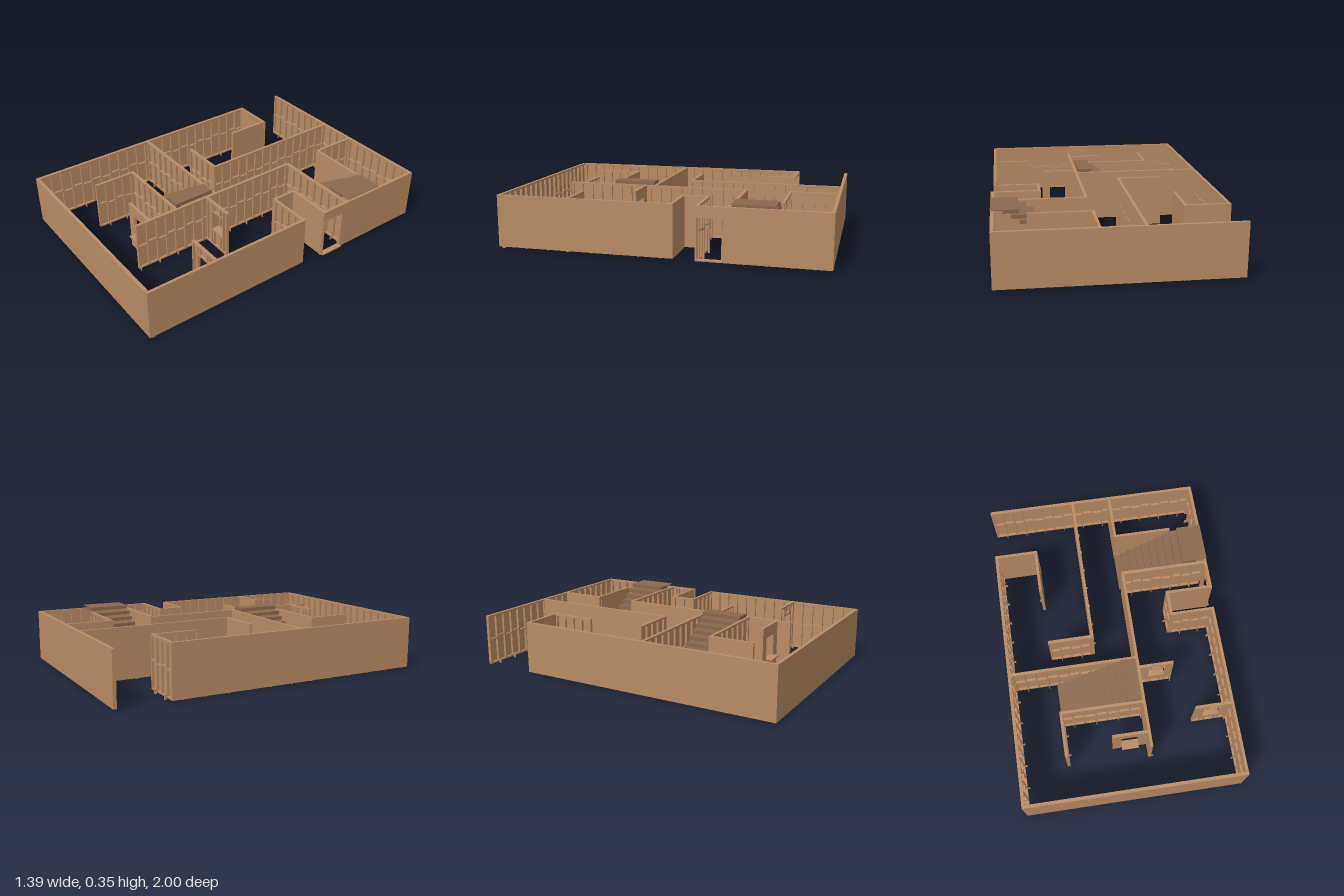
import * as THREE from 'three';
import { mergeGeometries } from 'three/addons/utils/BufferGeometryUtils.js';

const wood = new THREE.MeshStandardMaterial({ color: 0xb98b63 });
const darkWood = new THREE.MeshStandardMaterial({ color: 0x8a6a4e });
const FLOOR = 0.01, TOP = 0.33, SHEET = 0.005;

// Box given by its two opposite corners
function box(x0, x1, y0, y1, z0, z1) {
  return new THREE.BoxGeometry(x1 - x0, y1 - y0, z1 - z0)
    .translate((x0 + x1) / 2, (y0 + y1) / 2, (z0 + z1) / 2);
}

function part(name, boxes, material = wood) {
  const mesh = new THREE.Mesh(mergeGeometries(boxes), material);
  mesh.name = name;
  return mesh;
}

// Framed wall: a flat sheet on one side, plates, studs and blocking on the other.
// a0..a1 is the run along the axis, c0..c1 the thickness, side the stud face.
function wall(name, axis, a0, a1, c0, c1, side, hole) {
  const boxes = [];
  const put = (s, e, y0, y1, t0, t1) => boxes.push(
    axis === 'x' ? box(s, e, y0, y1, t0, t1) : box(t0, t1, y0, y1, s, e));
  const s0 = side > 0 ? c0 : c1 - SHEET;
  const f0 = side > 0 ? c0 + SHEET : c0;
  const f1 = side > 0 ? c1 : c1 - SHEET;
  const sheet = (s, e, y0, y1) => { if (e - s > 0.001 && y1 - y0 > 0.001) put(s, e, y0, y1, s0, s0 + SHEET); };

  // Sheet, left open at the window or door
  if (hole) {
    const [h0, h1, y0, y1] = hole;
    sheet(a0, h0, FLOOR, TOP);
    sheet(h1, a1, FLOOR, TOP);
    sheet(h0, h1, FLOOR, y0);
    sheet(h0, h1, y1, TOP);
    put(h0, h1, y1, y1 + 0.012, f0, f1);
    put(h0, h1, y0 - 0.01, y0, f0, f1);
    put(h0 - 0.012, h0, FLOOR, TOP, f0, f1);
    put(h1, h1 + 0.012, FLOOR, TOP, f0, f1);
  } else sheet(a0, a1, FLOOR, TOP);

  // Top and bottom plates
  put(a0, a1, TOP - 0.012, TOP, f0, f1);
  if (!hole || hole[2] > 0.05) put(a0, a1, FLOOR, FLOOR + 0.01, f0, f1);

  // Studs with staggered blocking and a small foot on every second one
  const n = Math.max(2, Math.round((a1 - a0) / 0.07));
  const pitch = (a1 - a0 - 0.012) / n;
  for (let i = 0; i <= n; i++) {
    const s = a0 + i * pitch;
    const inHole = hole && s + 0.012 > hole[0] && s < hole[1];
    if (inHole) {
      put(s, s + 0.012, hole[3], TOP, f0, f1);
      if (hole[2] > 0.05) put(s, s + 0.012, FLOOR, hole[2], f0, f1);
    } else {
      put(s, s + 0.012, FLOOR, TOP, f0, f1);
      const open = hole && s + pitch > hole[0] && s < hole[1];
      const y = 0.165 + (i % 2) * 0.012;
      if (i < n && !open) put(s, s + pitch, y, y + 0.01, f0, f1);
    }
    if (i % 2 && !inHole) {
      const t = side > 0 ? c1 : c0 - 0.015;
      put(s + 0.004, s + 0.008, 0, 0.03, t, t + 0.015);
    }
  }
  return part(name, boxes);
}

// Flight of overlapping thick treads rising towards +x
function stairs(name, x0, z0, z1, count, pitch, rise, landingEnd) {
  const boxes = [];
  for (let i = 0; i < count; i++) {
    const x = x0 + i * pitch, top = 0.35 - (count - 1 - i) * rise;
    boxes.push(box(x, x + 0.09, top - 0.022, top, z0, z1));
  }
  if (landingEnd) {
    boxes.push(box(x0 + (count - 1) * pitch + 0.09, landingEnd, 0.346, 0.35, z0, z1));
  }
  return part(name, boxes, darkWood);
}

export function createModel() {
  const model = new THREE.Group();
  model.name = 'floorPlanModel';
  const add = (...m) => model.add(...m);
  const doorway = [-0.385, -0.24, 0.02, 0.265];

  // Outer walls
  add(
    wall('backWall', 'x', -0.7, 0.68, -1, -0.98, 1),
    wall('leftRearWall', 'z', -0.98, -0.23, 0.66, 0.68, -1, doorway),
    wall('porchRearWall', 'x', 0.375, 0.66, -0.25, -0.232, -1),
    wall('porchInnerWall', 'z', -0.25, -0.08, 0.375, 0.393, -1),
    wall('porchFrontWall', 'x', 0.393, 0.65, -0.096, -0.078, 1),
    wall('leftFrontWall', 'z', -0.096, 0.98, 0.646, 0.664, -1),
    wall('frontWall', 'x', -0.7, 0.664, 0.98, 1, -1),
    wall('rightWall', 'z', -0.665, 0.98, -0.7, -0.68, 1),
    wall('entryWall', 'x', -0.7, -0.42, -0.665, -0.646, -1),
    wall('entryReturnWall', 'z', -0.646, -0.37, -0.44, -0.422, -1),
  );

  // Inner walls
  add(
    wall('corridorWall', 'z', -0.98, 0, -0.15, -0.132, 1),
    wall('corridorEndWall', 'x', -0.425, -0.15, -0.02, 0, 1),
    wall('rearRoomWall', 'z', -0.98, -0.69, 0.1, 0.118, 1),
    wall('upperStairRearWall', 'x', 0.118, 0.48, -0.705, -0.688, -1),
    wall('upperStairFrontWall', 'x', 0.11, 0.66, -0.43, -0.41, 1),
    wall('middleWall', 'z', -0.41, 0.745, 0.108, 0.126, 1),
    wall('lowerStairRearWall', 'x', -0.68, 0.108, 0.162, 0.181, 1),
    wall('lowerStairFrontWall', 'x', -0.41, 0.108, 0.45, 0.468, 1),
    wall('closetWall', 'z', 0.468, 0.73, -0.41, -0.393, 1),
  );

  // Short partitions with a serving window and its shelf: run, thickness, stud side, window
  const partitions = [
    [-0.11, 0.108, 0.642, 0.66, -1, -0.055, 0.052],
    [0.126, 0.34, 0.227, 0.246, 1, 0.185, 0.29],
    [0.425, 0.646, 0.538, 0.557, 1, 0.483, 0.59],
  ];
  for (const [a0, a1, c0, c1, side, h0, h1] of partitions) {
    add(wall('windowPartition', 'x', a0, a1, c0, c1, side, [h0, h1, 0.13, 0.26]));
    const z0 = side > 0 ? c0 - 0.037 : c0, z1 = side > 0 ? c1 : c1 + 0.04;
    add(part('windowShelf', [box(h0, h1, 0.12, 0.13, z0, z1)]));
  }

  // Stairs
  add(stairs('upperStairs', 0.1, -0.686, -0.432, 10, 0.0467, 0.032, 0.68));
  add(stairs('lowerStairs', -0.41, 0.183, 0.449, 11, 0.042, 0.03));

  // Door frame with threshold
  add(part('doorFrame', [
    box(0.66, 0.695, 0.015, 0.022, -0.39, -0.235),
    box(0.66, 0.683, 0.262, 0.27, -0.39, -0.235),
    box(0.66, 0.683, 0.015, 0.27, -0.39, -0.383),
    box(0.66, 0.683, 0.015, 0.27, -0.242, -0.235),
  ]));
  return model;
}
